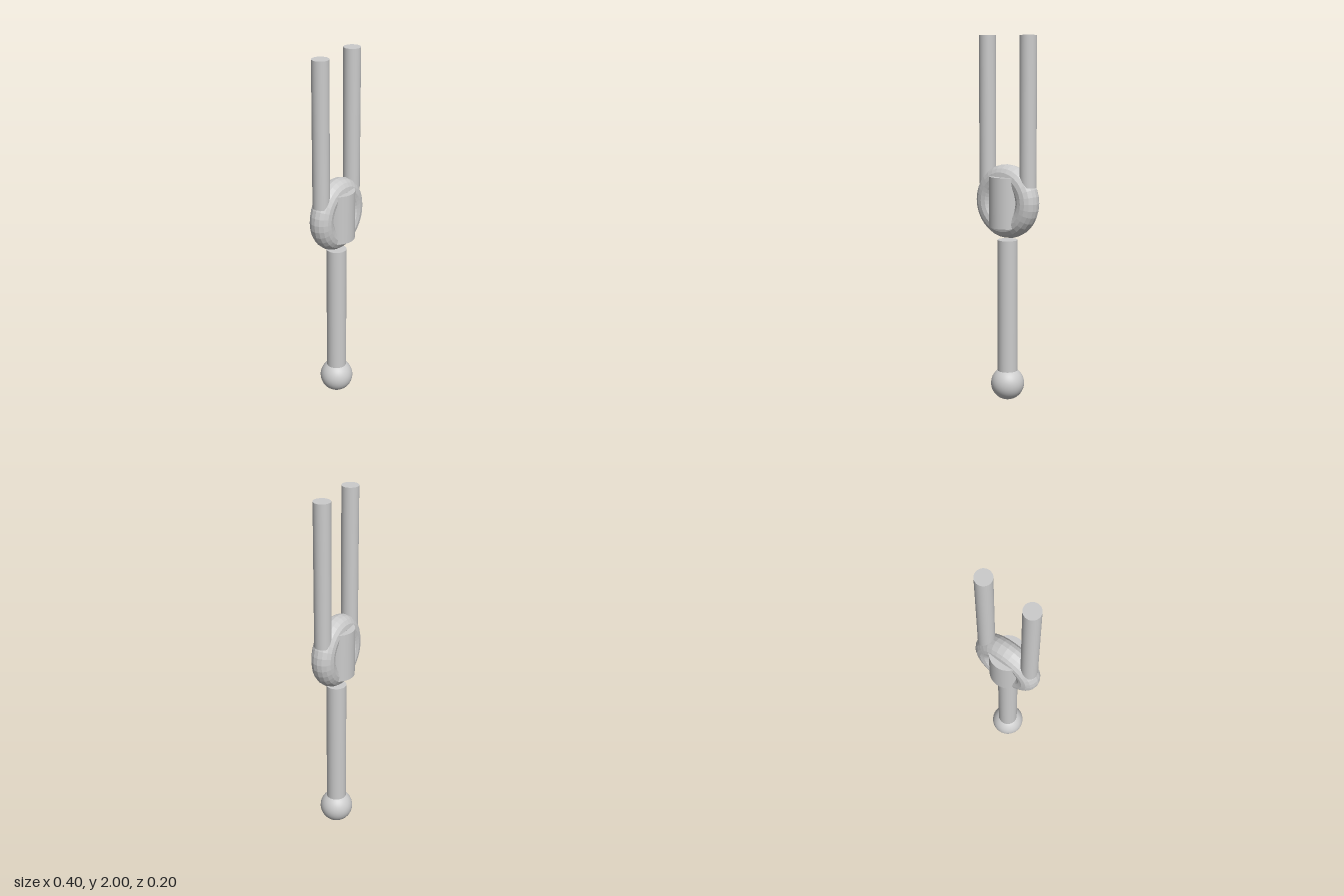
import * as THREE from 'three';

const material = new THREE.MeshStandardMaterial({ color: 0xcccccc });
const facetedMaterial = new THREE.MeshStandardMaterial({ color: 0xcccccc, flatShading: true });

// Upright cylinder between two heights
function post(name, radius, bottom, top, x = 0) {
  const mesh = new THREE.Mesh(
    new THREE.CylinderGeometry(radius, radius, top - bottom, 32), material);
  mesh.name = name;
  mesh.position.set(x, (bottom + top) / 2, 0);
  return mesh;
}

export function createModel() {
  const group = new THREE.Group();
  group.name = 'tuningFork';

  // Ball foot and handle
  const ball = new THREE.Mesh(new THREE.SphereGeometry(0.092, 32, 32), material);
  ball.name = 'ballFoot';
  ball.position.y = 0.094;
  group.add(ball, post('handle', 0.055, 0.14, 0.902));

  // Faceted ring with a core through its middle
  const ring = new THREE.Mesh(new THREE.TorusGeometry(0.137, 0.064, 16, 32), facetedMaterial);
  ring.name = 'ring';
  ring.position.y = 1.114;
  group.add(ring, post('core', 0.1, 0.974, 1.25));

  // Two prongs
  for (const [name, side] of [['leftProng', 1], ['rightProng', -1]]) {
    group.add(post(name, 0.046, 1.2, 2, side * 0.14));
  }
  return group;
}
